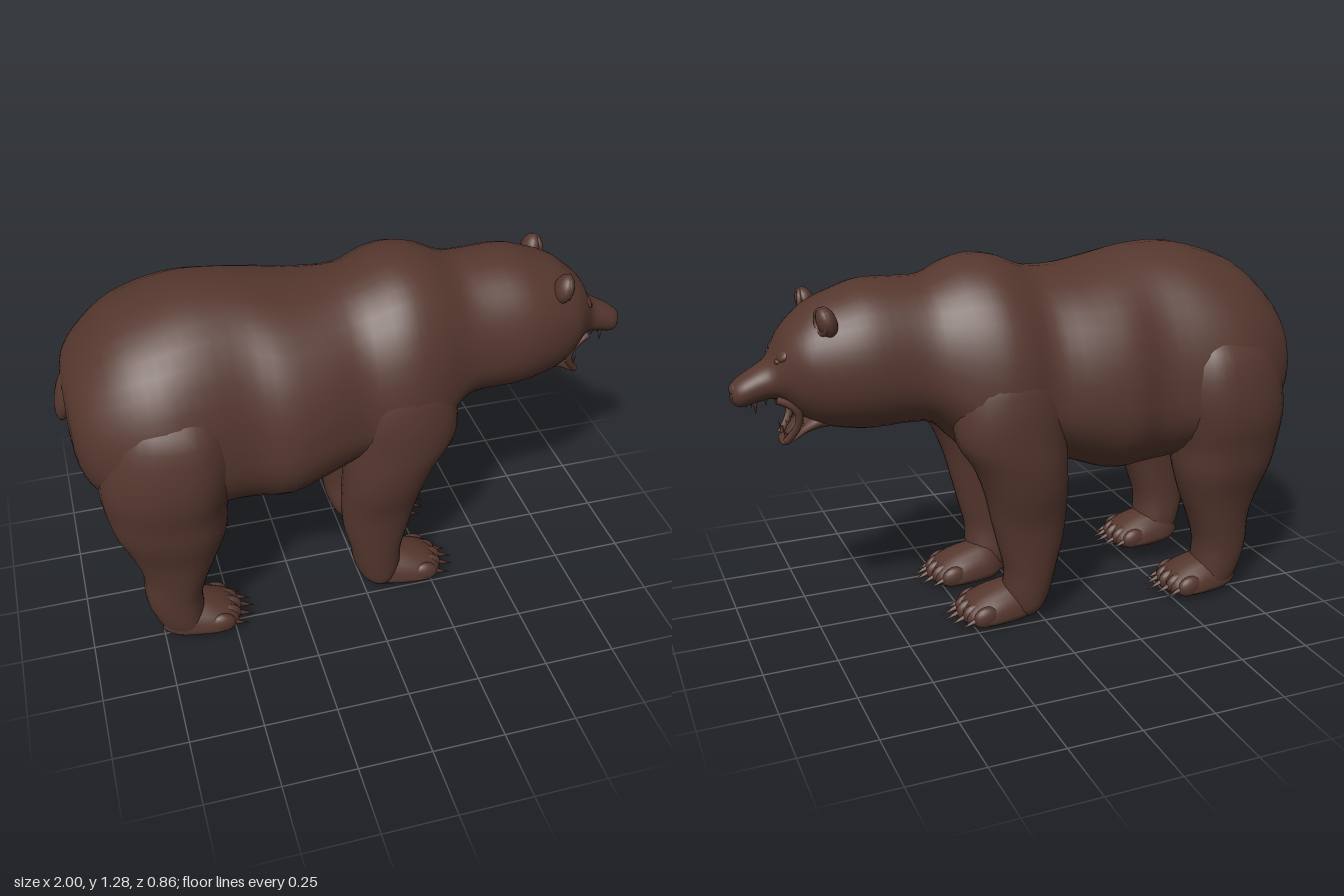
import * as THREE from 'three';

const fur = new THREE.MeshStandardMaterial({ color: 0x55372e });
fur.name = 'brown fur';

function add(parent, name, geometry, pos = [0, 0, 0], scale = [1, 1, 1], rot = [0, 0, 0]) {
  const mesh = new THREE.Mesh(geometry, fur);
  mesh.name = name;
  mesh.position.set(...pos);
  mesh.scale.set(...scale);
  mesh.rotation.set(...rot);
  parent.add(mesh);
  return mesh;
}

// Smoothly subdivide rows of section values
function refine(rows, steps) {
  const out = [];
  for (let i = 0; i < rows.length - 1; i++) {
    const a = rows[Math.max(i - 1, 0)], b = rows[i], c = rows[i + 1], d = rows[Math.min(i + 2, rows.length - 1)];
    for (let s = 0; s < steps; s++) {
      const t = s / steps;
      out.push(b.map((v, k) => v + 0.5 * t * (c[k] - a[k] + t * (2 * a[k] - 5 * v + 4 * c[k] - d[k]
        + t * (3 * (v - c[k]) + d[k] - a[k])))));
    }
  }
  out.push(rows[rows.length - 1]);
  return out;
}

// Section: [along, low, high, widest level, half width, centre z].
// Upright lofts run along y with low/high in x; others run along x with low/high in y.
function loft(rows, upright = false, sides = 28, power = 2.1) {
  const rings = refine(rows, 3), pos = [], index = [];
  const put = (t, u, v) => (upright ? pos.push(u, t, v) : pos.push(t, u, v));
  const bend = (v) => Math.sign(v) * Math.abs(v) ** (2 / power);
  for (const [t, lo, hi, mid, hw, cz = 0] of rings) {
    for (let j = 0; j < sides; j++) {
      const a = (j / sides) * Math.PI * 2;
      const s = bend(Math.sin(a));
      put(t, mid + s * (s > 0 ? hi - mid : mid - lo), cz + hw * bend(Math.cos(a)));
    }
  }
  const tri = (a, b, c) => (upright ? index.push(a, c, b) : index.push(a, b, c));
  for (let i = 0; i < rings.length - 1; i++) {
    for (let j = 0; j < sides; j++) {
      const a = i * sides + j, b = i * sides + ((j + 1) % sides);
      tri(a, a + sides, b);
      tri(b, a + sides, b + sides);
    }
  }
  // Close both ends
  const last = rings.length - 1;
  for (const r of [0, last]) {
    const [t, , , mid, , cz = 0] = rings[r];
    const centre = pos.length / 3;
    put(t, mid, cz);
    for (let j = 0; j < sides; j++) {
      const a = r * sides + j, b = r * sides + ((j + 1) % sides);
      if (r === 0) tri(centre, a, b); else tri(centre, b, a);
    }
  }
  const g = new THREE.BufferGeometry();
  g.setAttribute('position', new THREE.Float32BufferAttribute(pos, 3));
  g.setIndex(index);
  g.computeVertexNormals();
  return g;
}

const ball = new THREE.SphereGeometry(1, 18, 12);
const spike = new THREE.ConeGeometry(1, 1, 8);

// Leg rows: [y, back x, front x, half width, centre z]
const frontRows = [
  [0.03, 0.02, 0.1, 0.06, 0.19], [0.06, -0.01, 0.12, 0.08, 0.19], [0.12, -0.035, 0.135, 0.085, 0.195],
  [0.2, -0.05, 0.135, 0.083, 0.205], [0.3, -0.075, 0.16, 0.09, 0.207], [0.4, -0.085, 0.185, 0.1, 0.21],
  [0.5, -0.085, 0.21, 0.118, 0.22], [0.6, -0.08, 0.25, 0.13, 0.225], [0.7, -0.075, 0.31, 0.135, 0.225],
  [0.82, -0.07, 0.31, 0.135, 0.222], [0.95, -0.03, 0.27, 0.115, 0.21], [1.07, 0.04, 0.2, 0.05, 0.18],
];
const hindRows = [
  [0.02, -0.72, -0.62, 0.06, 0.23], [0.05, -0.755, -0.6, 0.085, 0.23], [0.12, -0.785, -0.6, 0.09, 0.235],
  [0.2, -0.8, -0.6, 0.09, 0.24], [0.3, -0.8, -0.57, 0.1, 0.245], [0.4, -0.83, -0.53, 0.115, 0.25],
  [0.5, -0.87, -0.5, 0.14, 0.255], [0.6, -0.895, -0.49, 0.165, 0.245], [0.7, -0.905, -0.47, 0.185, 0.245],
  [0.82, -0.89, -0.455, 0.185, 0.242], [0.95, -0.84, -0.48, 0.155, 0.235], [1.08, -0.74, -0.56, 0.06, 0.21],
];

function buildLeg(name, rows, widest, heel, footZ, side) {
  const leg = new THREE.Group();
  leg.name = name;
  add(leg, name + 'Limb', loft(
    rows.map(([y, x0, x1, hw, z]) => [y, x0, x1, x0 + (x1 - x0) * widest, hw, z * side]), true));
  // Flat-soled foot
  const cz = footZ * side;
  add(leg, name + 'Foot', loft([
    [heel, 0.03, 0.08, 0.05, 0.05, cz], [heel + 0.05, 0.005, 0.15, 0.05, 0.085, cz],
    [heel + 0.13, 0, 0.142, 0.045, 0.1, cz], [heel + 0.2, 0.005, 0.118, 0.04, 0.104, cz],
    [heel + 0.25, 0.012, 0.088, 0.045, 0.09, cz], [heel + 0.27, 0.03, 0.065, 0.045, 0.06, cz],
  ], false, 20));
  // Toes and claws
  for (let i = -2; i <= 2; i++) {
    const x = heel + 0.243 - 0.009 * i * i, z = cz + i * 0.041;
    add(leg, 'toe', ball, [x, 0.056, z], [0.047, 0.038, 0.024], [0, 0, -0.25]);
    add(leg, 'claw', spike, [x + 0.06, 0.042, z], [0.014, 0.075, 0.012], [0, 0, -Math.PI / 2 - 0.35]);
  }
  return leg;
}

export function createModel() {
  const bear = new THREE.Group();
  bear.name = 'bear';

  // Rump, belly, chest and shoulder hump, running into neck, head and upper muzzle
  const trunk = [
    [-0.965, 0.8, 0.98, 0.88, 0.11], [-0.95, 0.69, 1.03, 0.85, 0.22], [-0.9, 0.6, 1.1, 0.83, 0.3],
    [-0.8, 0.54, 1.19, 0.81, 0.365], [-0.68, 0.52, 1.24, 0.8, 0.4], [-0.55, 0.51, 1.27, 0.78, 0.39],
    [-0.4, 0.485, 1.265, 0.78, 0.36], [-0.28, 0.485, 1.24, 0.78, 0.385], [-0.15, 0.53, 1.22, 0.8, 0.365],
    [-0.02, 0.58, 1.225, 0.8, 0.33], [0.08, 0.575, 1.265, 0.82, 0.345], [0.16, 0.575, 1.28, 0.83, 0.345],
    [0.25, 0.63, 1.265, 0.85, 0.315], [0.34, 0.72, 1.225, 0.9, 0.265], [0.42, 0.735, 1.222, 0.93, 0.243],
  ];
  const head = [
    [0.55, 0.73, 1.225, 0.95, 0.24], [0.64, 0.74, 1.2, 0.96, 0.225], [0.72, 0.76, 1.17, 0.96, 0.198],
    [0.78, 0.8, 1.125, 0.97, 0.168], [0.83, 0.848, 1.075, 0.96, 0.118], [0.87, 0.86, 0.998, 0.93, 0.083],
    [0.92, 0.852, 0.965, 0.91, 0.068], [0.97, 0.842, 0.935, 0.89, 0.056], [0.995, 0.86, 0.91, 0.885, 0.03],
  ];
  add(bear, 'body', loft([...trunk, ...head], false, 40));
  add(bear, 'nose', ball, [0.972, 0.9, 0], [0.028, 0.026, 0.038]);
  add(bear, 'tail', ball, [-0.957, 0.92, 0], [0.034, 0.1, 0.055], [0, 0, -0.25]);

  // Open lower jaw with tongue
  add(bear, 'lowerJaw', loft([
    [0.62, 0.75, 0.85, 0.8, 0.11], [0.71, 0.75, 0.83, 0.79, 0.1], [0.77, 0.738, 0.79, 0.76, 0.08],
    [0.81, 0.712, 0.745, 0.728, 0.064], [0.84, 0.7, 0.722, 0.711, 0.045], [0.85, 0.705, 0.718, 0.711, 0.02],
  ], false, 20));
  add(bear, 'tongue', ball, [0.79, 0.768, 0], [0.06, 0.014, 0.032], [0, 0, -0.85]);

  for (const side of [1, -1]) {
    const tag = side > 0 ? 'right' : 'left';
    // Ears with a raised rim
    add(bear, tag + 'Ear', ball, [0.705, 1.13, 0.15 * side], [0.032, 0.052, 0.043], [0, 0, -0.3]);
    add(bear, tag + 'EarRim', new THREE.TorusGeometry(0.034, 0.009, 8, 20), [0.722, 1.133, 0.151 * side],
      [1, 1.1, 1], [0, Math.PI / 2 - 0.3 * side, 0]);
    // Eyes under brows
    add(bear, tag + 'Eye', ball, [0.848, 0.997, 0.07 * side], [0.014, 0.01, 0.014]);
    add(bear, tag + 'Brow', ball, [0.832, 1.02, 0.073 * side], [0.027, 0.014, 0.034], [0.25 * side, 0, -0.8]);
    // Lip folds joining the jaws
    const lip = new THREE.QuadraticBezierCurve3(new THREE.Vector3(0.86, 0.868, 0.066 * side),
      new THREE.Vector3(0.74, 0.83, 0.1 * side), new THREE.Vector3(0.835, 0.718, 0.045 * side));
    add(bear, tag + 'Lip', new THREE.TubeGeometry(lip, 14, 0.013, 8));
    // Canines and small teeth
    add(bear, 'upperCanine', spike, [0.925, 0.84, 0.036 * side], [0.008, 0.045, 0.008], [0, 0, Math.PI]);
    add(bear, 'lowerCanine', spike, [0.835, 0.742, 0.034 * side], [0.008, 0.055, 0.008], [0, 0, -0.3]);
    for (let i = 0; i < 4; i++) {
      add(bear, 'upperTooth', spike, [0.95 - 0.03 * i, 0.845 + 0.004 * i, (0.01 + 0.012 * i) * side],
        [0.006, 0.018, 0.006], [0, 0, Math.PI]);
      add(bear, 'lowerTooth', spike, [0.825 - 0.014 * i, 0.738 + 0.014 * i, (0.042 + 0.005 * i) * side],
        [0.006, 0.02, 0.006], [0, 0, -0.5]);
    }
    bear.add(buildLeg(tag + 'FrontLeg', frontRows, 0.5, 0.015, 0.17, side));
    bear.add(buildLeg(tag + 'HindLeg', hindRows, 0.6, -0.755, 0.225, side));
  }
  return bear;
}
